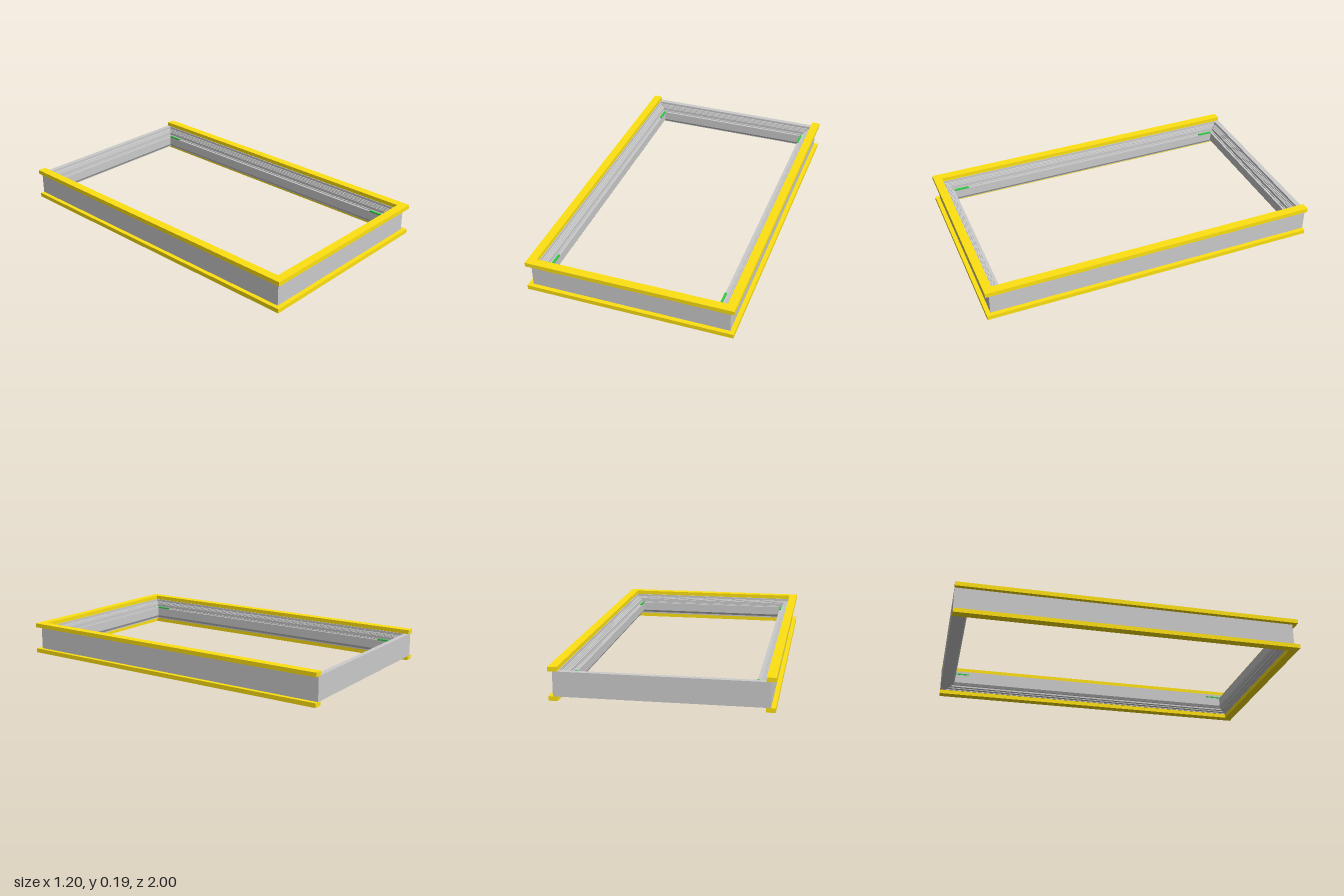
import * as THREE from 'three';

const grey = new THREE.MeshStandardMaterial({ color: 0xcccccc, flatShading: true });
const yellow = new THREE.MeshStandardMaterial({ color: 0xffe212 });
const green = new THREE.MeshStandardMaterial({ color: 0x33cc44 });

// Outer faces of the frame
const X = 0.575, FRONT = 0.975, BACK = -1;

// Sweep a closed section of [inward offset, height] round the rectangle with mitred corners
function mitredFrame(section) {
  const corners = [[1, 1], [1, -1], [-1, -1], [-1, 1]];
  const at = ([d, y], [sx, sz]) => [sx * (X - d), y, sz > 0 ? FRONT - d : BACK + d];
  const pos = [];
  section.forEach((a, i) => {
    const b = section[(i + 1) % section.length];
    corners.forEach((c, k) => {
      const n = corners[(k + 1) % 4];
      pos.push(...at(a, c), ...at(a, n), ...at(b, n), ...at(a, c), ...at(b, n), ...at(b, c));
    });
  });
  const geo = new THREE.BufferGeometry();
  geo.setAttribute('position', new THREE.Float32BufferAttribute(pos, 3));
  geo.computeVertexNormals();
  return geo;
}

export function createModel() {
  const model = new THREE.Group();
  model.name = 'windowFrame';

  const add = (name, geo, mat, x = 0, y = 0, z = 0, parent = model) => {
    const mesh = new THREE.Mesh(geo, mat);
    mesh.name = name;
    mesh.position.set(x, y, z);
    parent.add(mesh);
  };

  // Frame section: outer wall, stepped and ribbed rebate, inner face, stepped underside
  const section = [[0, 0.025], [0, 0.163], [0.03, 0.163], [0.03, 0.148]];
  for (let i = 0; i < 3; i++) {
    const d = 0.034 + i * 0.01, y = 0.146 - i * 0.003;
    section.push([d, y], [d, y - 0.005], [d + 0.006, y - 0.005], [d + 0.006, y - 0.002]);
  }
  section.push(
    [0.065, 0.138], [0.065, 0.12], [0.072, 0.12], [0.072, 0.115], [0.085, 0.115],
    [0.085, 0.06], [0.076, 0.045], [0.068, 0.045], [0.068, 0.035],
    [0.05, 0.035], [0.05, 0.03], [0.03, 0.03], [0.03, 0.025],
  );
  add('mitredFrame', mitredFrame(section), grey);

  // Sealing strips on the two long sides and the front, above and below
  const t = 0.05, h = 0.025;
  for (const [name, y] of [['lower', h / 2], ['upper', 0.187 - h / 2]]) {
    const strip = new THREE.Group();
    strip.name = name + 'Strip';
    model.add(strip);
    for (const s of [-1, 1]) {
      add(s > 0 ? 'leftStrip' : 'rightStrip', new THREE.BoxGeometry(t, h, 2), yellow, s * X, y, 0, strip);
    }
    add('frontStrip', new THREE.BoxGeometry(1.2 - 2 * t, h, t), yellow, 0, y, FRONT, strip);
  }

  // Small corner pads on the inner ledge of the long sides
  for (const s of [-1, 1]) {
    for (const z of [0.845, -0.87]) {
      add('cornerPad', new THREE.BoxGeometry(0.012, 0.008, 0.09), green, s * 0.494, 0.118, z);
    }
  }
  return model;
}
